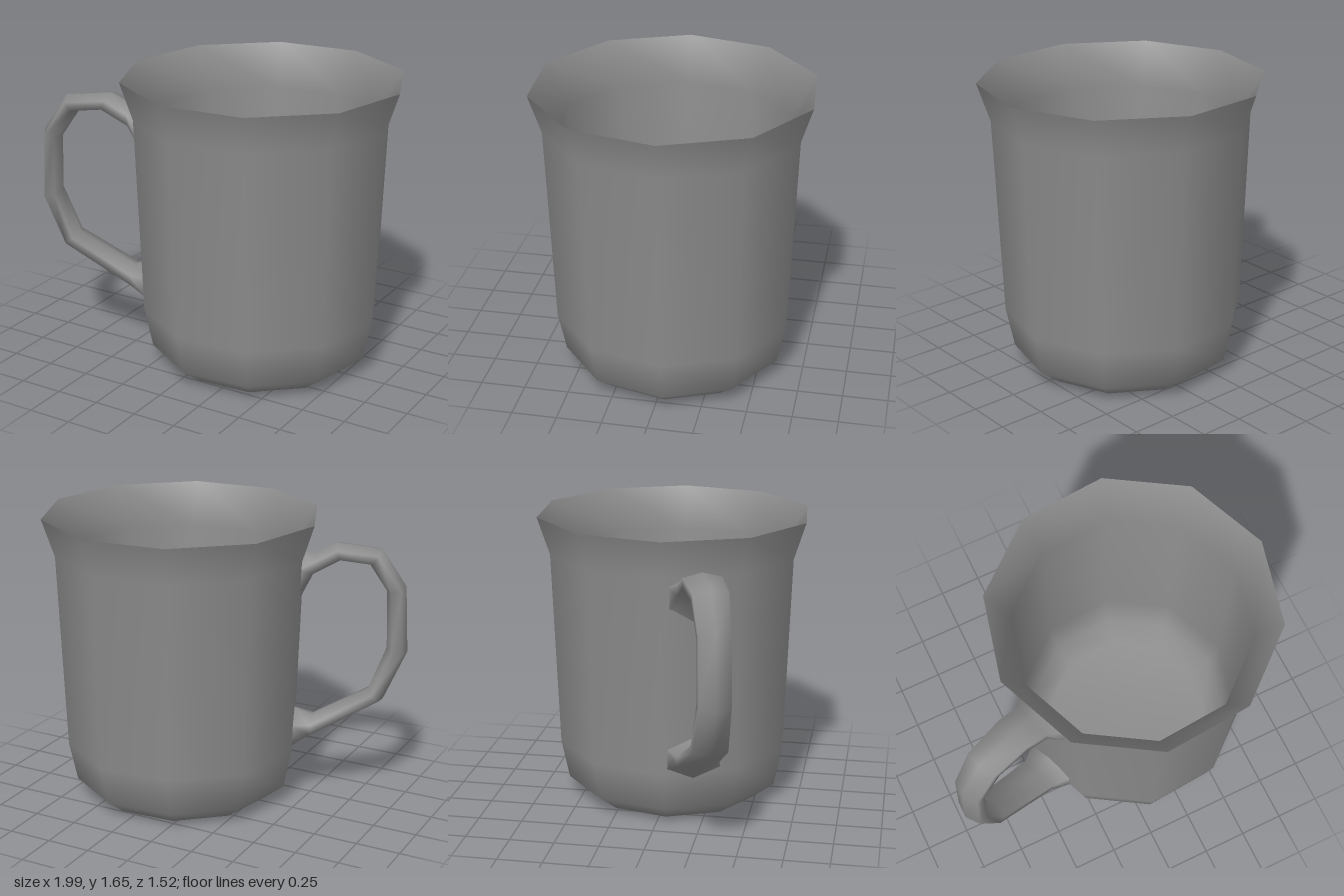
import * as THREE from 'three';

const AXIS_X = 0.21;                       // the cup sits off-centre to make room for the handle
const OUT = new THREE.Vector3(-0.945, 0, 0.327);   // direction the handle points
const SIDE = new THREE.Vector3(0.327, 0, 0.945);   // across the handle

// Ten-sided surface of revolution
function turned(name, profile, material) {
  const points = profile.map(([r, y]) => new THREE.Vector2(r, y));
  const start = THREE.MathUtils.degToRad(94.2);
  const mesh = new THREE.Mesh(new THREE.LatheGeometry(points, 10, start), material);
  mesh.name = name;
  mesh.position.x = AXIS_X;
  return mesh;
}

// Six-sided loop lofted through rings of [outer x, outer y, inner x, inner y, half width]
function handleGeometry(rings) {
  const sides = 6, positions = [], index = [];
  const tip = (x, y) => OUT.clone().multiplyScalar((AXIS_X - x) / 0.945).setY(y);
  rings.forEach(([ox, oy, ix, iy, w], i) => {
    const outer = tip(ox, oy), inner = tip(ix, iy);
    const centre = outer.clone().add(inner).multiplyScalar(0.5);
    const arm = outer.sub(centre);
    for (let k = 0; k < sides; k++) {
      const a = (k / sides) * Math.PI * 2;
      const p = centre.clone()
        .addScaledVector(arm, Math.cos(a))
        .addScaledVector(SIDE, (w / 0.866) * Math.sin(a));
      positions.push(p.x, p.y, p.z);
      if (i < rings.length - 1) {
        const k2 = (k + 1) % sides;
        const a0 = i * sides + k, b0 = i * sides + k2;
        const a1 = a0 + sides, b1 = b0 + sides;
        index.push(a0, a1, b0, b0, a1, b1);
      }
    }
  });
  const geometry = new THREE.BufferGeometry();
  geometry.setAttribute('position', new THREE.Float32BufferAttribute(positions, 3));
  geometry.setIndex(index);
  geometry.computeVertexNormals();
  return geometry;
}

export function createModel() {
  const group = new THREE.Group();
  group.name = 'mug';
  const grey = new THREE.MeshStandardMaterial({ color: 0x8c8c8c });
  grey.name = 'grey';

  // Outside of the cup, from the base up to the flared rim
  group.add(turned('cupOutside', [
    [0, 0], [0.51, 0], [0.63, 0.095], [0.676, 0.32], [0.715, 1.44], [0.785, 1.655],
  ], grey));

  // Inside of the cup, from the rim down to the floor
  group.add(turned('cupInside', [
    [0.785, 1.655], [0.65, 1.42], [0.635, 0.34], [0.585, 0.14], [0.47, 0.06], [0, 0.06],
  ], grey));

  // Handle, from the upper joint round to the lower joint
  const handle = new THREE.Mesh(handleGeometry([
    [-0.42, 1.46, -0.42, 1.18, 0.15],
    [-0.50, 1.455, -0.49, 1.33, 0.11],
    [-0.61, 1.515, -0.64, 1.42, 0.105],
    [-0.85, 1.49, -0.785, 1.40, 0.095],
    [-0.98, 1.28, -0.88, 1.25, 0.085],
    [-1.0, 0.90, -0.89, 0.92, 0.085],
    [-0.88, 0.61, -0.80, 0.67, 0.095],
    [-0.50, 0.375, -0.50, 0.49, 0.11],
    [-0.40, 0.29, -0.40, 0.53, 0.15],
  ]), grey);
  handle.name = 'handle';
  handle.position.x = AXIS_X;
  group.add(handle);

  return group;
}
